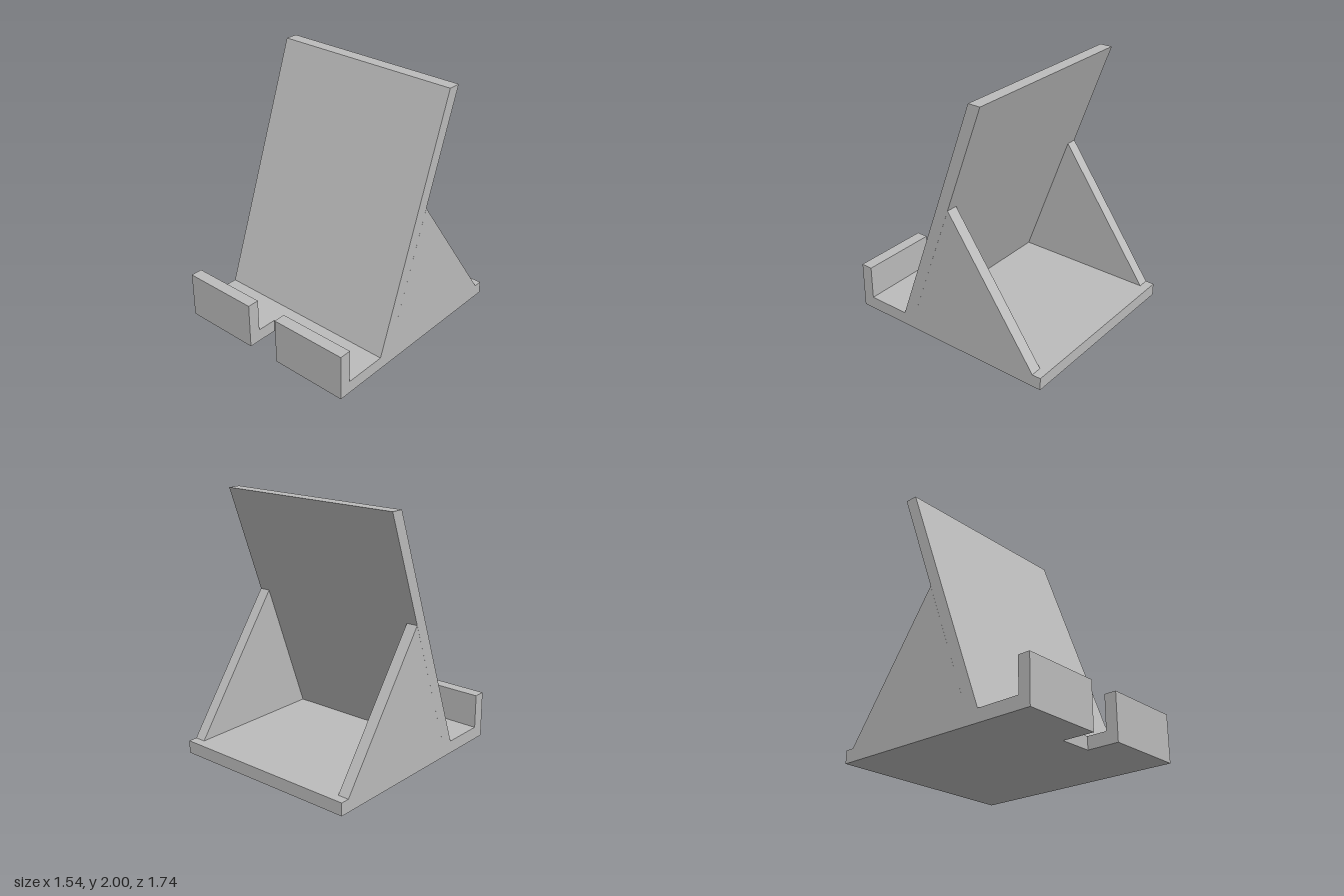
import * as THREE from 'three';

const HALF_W = 0.77, BASE_H = 0.1, FRONT = 0.87, BACK = -0.87;
const SLOT = 0.135, SLOT_BACK = 0.615;

const grey = new THREE.MeshStandardMaterial({ color: 0xbcbcbc });
grey.name = 'light grey';

function extrude(points, depth) {
  const shape = new THREE.Shape(points.map(([a, b]) => new THREE.Vector2(a, b)));
  return new THREE.ExtrudeGeometry(shape, { depth, bevelEnabled: false });
}

// Side profile given as [z, y], extruded across x from x0 to x1
function profile(points, x0, x1) {
  return extrude(points.map(([z, y]) => [-z, y]), x1 - x0)
    .rotateY(Math.PI / 2)
    .translate(x0, 0, 0);
}

export function createModel() {
  const model = new THREE.Group();
  model.name = 'deviceStand';
  const add = (name, geometry) => {
    const mesh = new THREE.Mesh(geometry, grey);
    mesh.name = name;
    model.add(mesh);
  };

  // Base plate with the cable slot cut into its front edge, drawn as [x, -z]
  add('base', extrude([
    [-HALF_W, -FRONT], [-SLOT, -FRONT], [-SLOT, -SLOT_BACK], [SLOT, -SLOT_BACK],
    [SLOT, -FRONT], [HALF_W, -FRONT], [HALF_W, -BACK], [-HALF_W, -BACK],
  ], BASE_H).rotateX(-Math.PI / 2));

  // Leaning back rest with a level top edge
  add('backRest', profile(
    [[0.43, BASE_H], [0.33, BASE_H], [-0.36, 2], [-0.26, 2]], -HALF_W, HALF_W));

  // Mirrored front lips and triangular side braces
  const lip = [[FRONT, BASE_H], [0.775, BASE_H], [0.775, 0.37], [FRONT, 0.37]];
  const brace = [[0.33, BASE_H], [-0.8, BASE_H], [-0.052, 1.15]];
  for (const [side, s] of [['left', 1], ['right', -1]]) {
    const across = (points, inner) =>
      profile(points, Math.min(s * inner, s * HALF_W), Math.max(s * inner, s * HALF_W));
    add(side + 'Lip', across(lip, SLOT));
    add(side + 'Brace', across(brace, 0.68));
  }
  return model;
}
